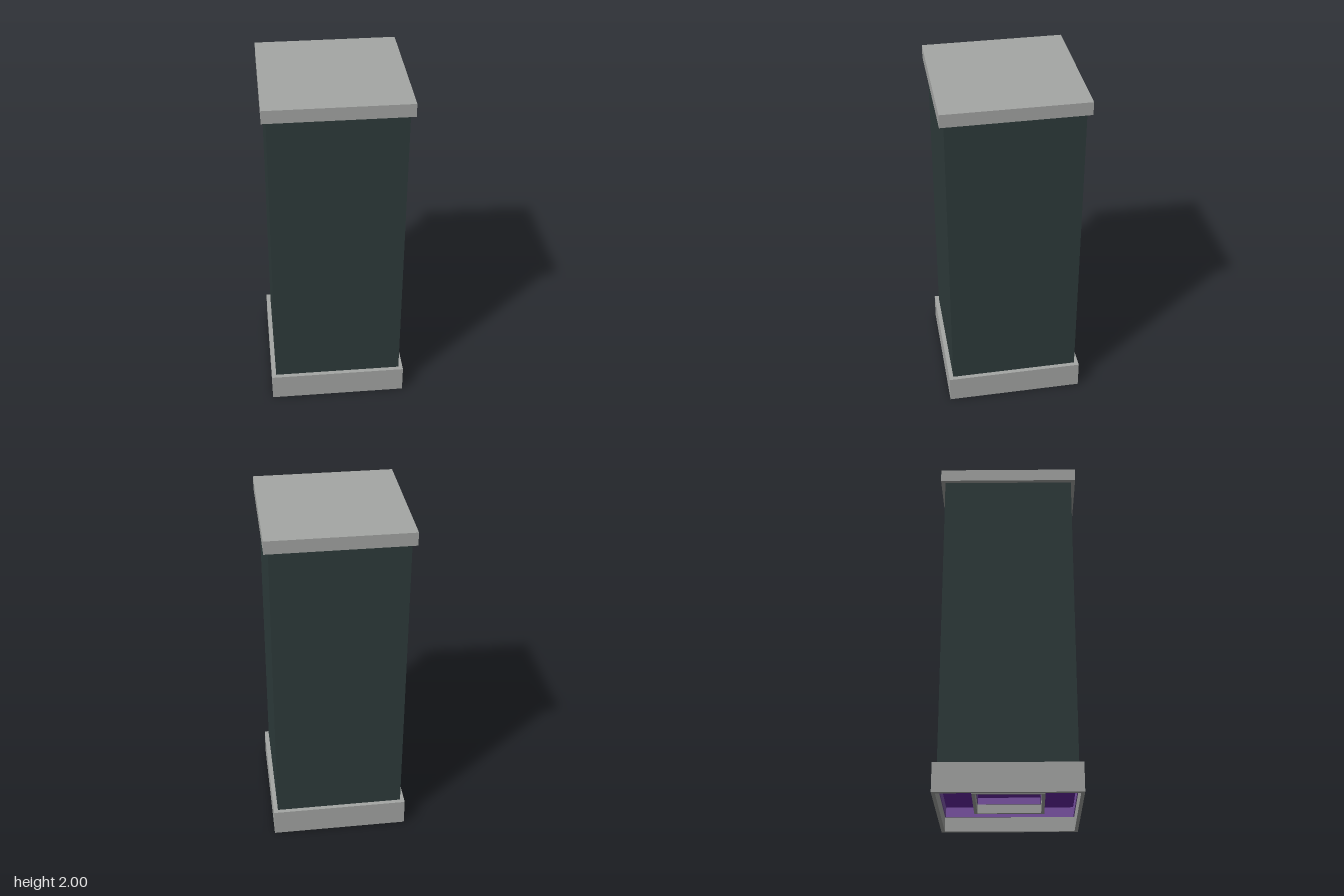
import * as THREE from 'three';

const stone = new THREE.MeshStandardMaterial({ color: 0xa5a7a5 });
stone.name = 'pale stone grey';
const slate = new THREE.MeshStandardMaterial({ color: 0x2e3b3b });
slate.name = 'dark slate';
const purple = new THREE.MeshStandardMaterial({ color: 0x6a2aa8 });
purple.name = 'purple';
const mutedPurple = new THREE.MeshStandardMaterial({ color: 0x7d55a8 });
mutedPurple.name = 'muted purple';

// Square block between two heights
function block(name, half, y0, y1, material) {
  const mesh = new THREE.Mesh(new THREE.BoxGeometry(half * 2, y1 - y0, half * 2), material);
  mesh.position.y = (y0 + y1) / 2;
  mesh.name = name;
  return mesh;
}

// Open square frame between two heights
function frame(name, outer, inner, y0, y1, material) {
  const square = (path, h) => path.moveTo(-h, -h).lineTo(h, -h).lineTo(h, h).lineTo(-h, h).closePath();
  const shape = square(new THREE.Shape(), outer);
  shape.holes.push(square(new THREE.Path(), inner));
  const geometry = new THREE.ExtrudeGeometry(shape, { depth: y1 - y0, bevelEnabled: false });
  geometry.rotateX(-Math.PI / 2);
  const mesh = new THREE.Mesh(geometry, material);
  mesh.position.y = y0;
  mesh.name = name;
  return mesh;
}

export function createModel() {
  const model = new THREE.Group();
  model.name = 'pillar';

  // Column and its overhanging cap
  model.add(block('shaft', 0.375, 0.155, 1.93, slate));
  model.add(block('cap', 0.4, 1.925, 2, stone));

  // Hollow base, open underneath
  const base = new THREE.Group();
  base.name = 'base';
  base.add(block('baseTop', 0.4, 0.15, 0.163, stone));
  base.add(frame('baseWalls', 0.4, 0.38, 0, 0.15, stone));
  base.add(block('glowPanel', 0.379, 0.143, 0.149, purple));
  base.add(frame('glowStrip', 0.38, 0.375, 0.085, 0.143, mutedPurple));

  // Smaller nozzle frame hanging inside the base
  base.add(frame('nozzleWalls', 0.2, 0.182, 0.053, 0.144, stone));
  base.add(frame('nozzleGlowStrip', 0.182, 0.178, 0.105, 0.143, mutedPurple));
  model.add(base);

  return model;
}
